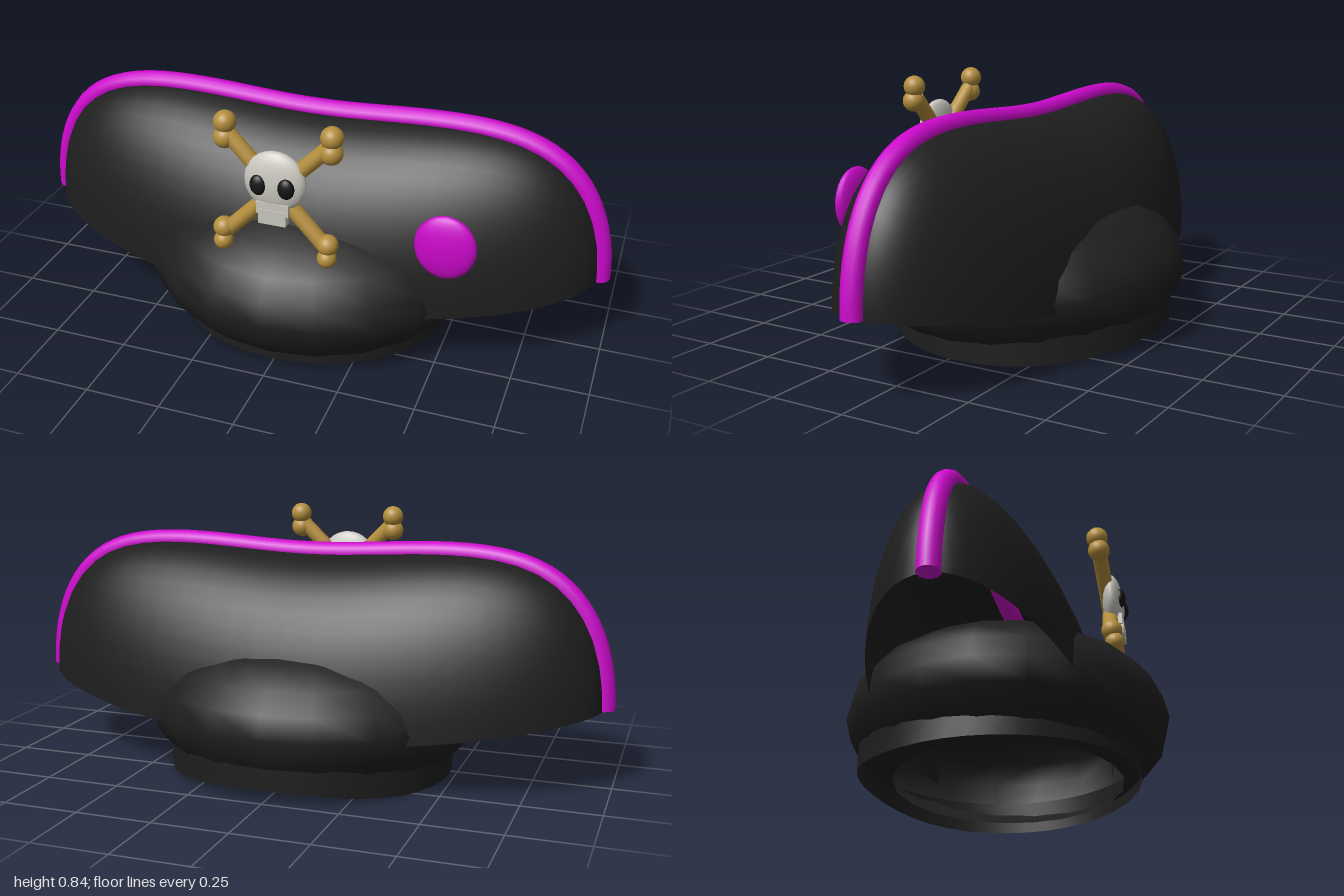
import * as THREE from 'three';

const mat = (name, color, side = THREE.FrontSide) => {
  const m = new THREE.MeshStandardMaterial({ color, side });
  m.name = name;
  return m;
};

export function createModel() {
  const felt = mat('black felt', 0x1e1e1e, THREE.DoubleSide);
  const magenta = mat('magenta trim', 0xcc08cc);
  const gold = mat('gold bone', 0xb48e3c);
  const ivory = mat('ivory', 0xc9c7be);
  const dark = mat('eye black', 0x141414);

  const hat = new THREE.Group();
  hat.name = 'pirateHat';
  const add = (parent, name, geo, material, x = 0, y = 0, z = 0) => {
    const mesh = new THREE.Mesh(geo, material);
    mesh.name = name;
    mesh.position.set(x, y, z);
    parent.add(mesh);
    return mesh;
  };

  // Folded brim: arched sections along x, swelling to a lens in plan
  const HALF = 0.965, MID_Z = -0.025;
  const baseY = (x) => 0.165 + 0.1 * (x / HALF) ** 2;
  const ridgeY = (x) => 0.265 + 0.478 * Math.sqrt(Math.max(0, 1 - Math.abs(x / HALF) ** 6))
    - 0.027 * Math.exp(-((x / 0.35) ** 2));
  const brim = new THREE.PlaneGeometry(1, 1, 32, 24);
  const p = brim.attributes.position;
  for (let i = 0; i < p.count; i++) {
    const u = p.getX(i) * Math.PI, v = (p.getY(i) + 0.5) * Math.PI;
    const x = HALF * Math.sin(u), b = baseY(x);
    p.setXYZ(i, x, b + (ridgeY(x) - b) * Math.sin(v),
      MID_Z + 0.358 * Math.cos(u) * Math.cos(v));
  }
  brim.computeVertexNormals();
  add(hat, 'foldedBrim', brim, felt);

  // Domed cap, curling under the head and open below
  const cap = new THREE.SphereGeometry(1, 20, 9, 0, Math.PI * 2, 0, Math.PI * 3 / 4);
  cap.scale(0.57, 0.28, 0.53);
  add(hat, 'cap', cap, felt, 0, 0.21, 0);

  // Head band, its lower edge curving up at front and back
  const band = new THREE.CylinderGeometry(1, 1, 1, 40, 1, true);
  const q = band.attributes.position;
  for (let i = 0; i < q.count; i++) {
    const z = q.getZ(i);
    const low = z < 0 ? 0.04 * z ** 4 : 0.02 * z * z;
    q.setXYZ(i, q.getX(i) * 0.478, q.getY(i) > 0 ? 0.11 : low, z * 0.46 - 0.03);
  }
  band.computeVertexNormals();
  add(hat, 'headBand', band, felt);

  // Piping along the ridge, with a separate short piece on the right end
  const piping = (name, u0, u1, steps) => {
    const pts = [];
    for (let i = 0; i <= steps; i++) {
      const x = HALF * Math.sin(u0 + (u1 - u0) * i / steps);
      pts.push(new THREE.Vector3(x, ridgeY(x), -0.02));
    }
    const curve = new THREE.CatmullRomCurve3(pts);
    add(hat, name, new THREE.TubeGeometry(curve, steps * 2, 0.035, 12), magenta);
    [0, 1].forEach((t) => {
      const end = add(hat, name + 'End', new THREE.CircleGeometry(0.035, 12), magenta);
      end.position.copy(curve.getPointAt(t));
      const dir = curve.getTangentAt(t).multiplyScalar(t ? 1 : -1);
      end.quaternion.setFromUnitVectors(new THREE.Vector3(0, 0, 1), dir);
    });
  };
  piping('ridgePiping', -1.19, Math.PI / 2, 30);
  piping('endPiping', -Math.PI / 2, -1.18, 6);

  // Flattened balls shared by the badge parts
  const ball = (rx, ry, rz) => new THREE.SphereGeometry(1, 24, 16).scale(rx, ry, rz);
  add(hat, 'rosette', ball(0.097, 0.108, 0.031), magenta, 0.525, 0.48, 0.31);

  // Crossed bones
  const badge = new THREE.Group();
  badge.name = 'skullBadge';
  hat.add(badge);
  for (const s of [-1, 1]) {
    const a = new THREE.Vector3(s * 0.16, 0.765, 0.338);
    const b = new THREE.Vector3(-s * 0.16, 0.445, 0.366);
    const d = b.clone().sub(a);
    const shaft = add(badge, 'boneShaft', new THREE.CylinderGeometry(0.026, 0.026, d.length(), 12), gold);
    shaft.position.copy(a).addScaledVector(d, 0.5);
    shaft.quaternion.setFromUnitVectors(new THREE.Vector3(0, 1, 0), d.normalize());
    [[0.802, 0.335, 0.036], [0.753, 0.34, 0.036], [0.453, 0.372, 0.034], [0.41, 0.38, 0.031]]
      .forEach(([y, z, r]) => add(badge, 'boneKnob', ball(r, r, r), gold, s * 0.172, y, z));
  }

  // Skull with jaw and eye sockets
  const cranium = add(badge, 'cranium', ball(0.101, 0.1, 0.036), ivory, 0, 0.64, 0.363);
  cranium.rotation.x = -0.05;
  add(badge, 'upperJaw', new THREE.BoxGeometry(0.105, 0.04, 0.035), ivory, 0, 0.558, 0.378);
  add(badge, 'lowerJaw', new THREE.BoxGeometry(0.09, 0.05, 0.025), ivory, 0, 0.53, 0.386);
  for (const s of [-1, 1]) {
    add(badge, 'eyeSocket', ball(0.027, 0.034, 0.018), dark, s * 0.045, 0.635, 0.392);
  }

  return hat;
}
